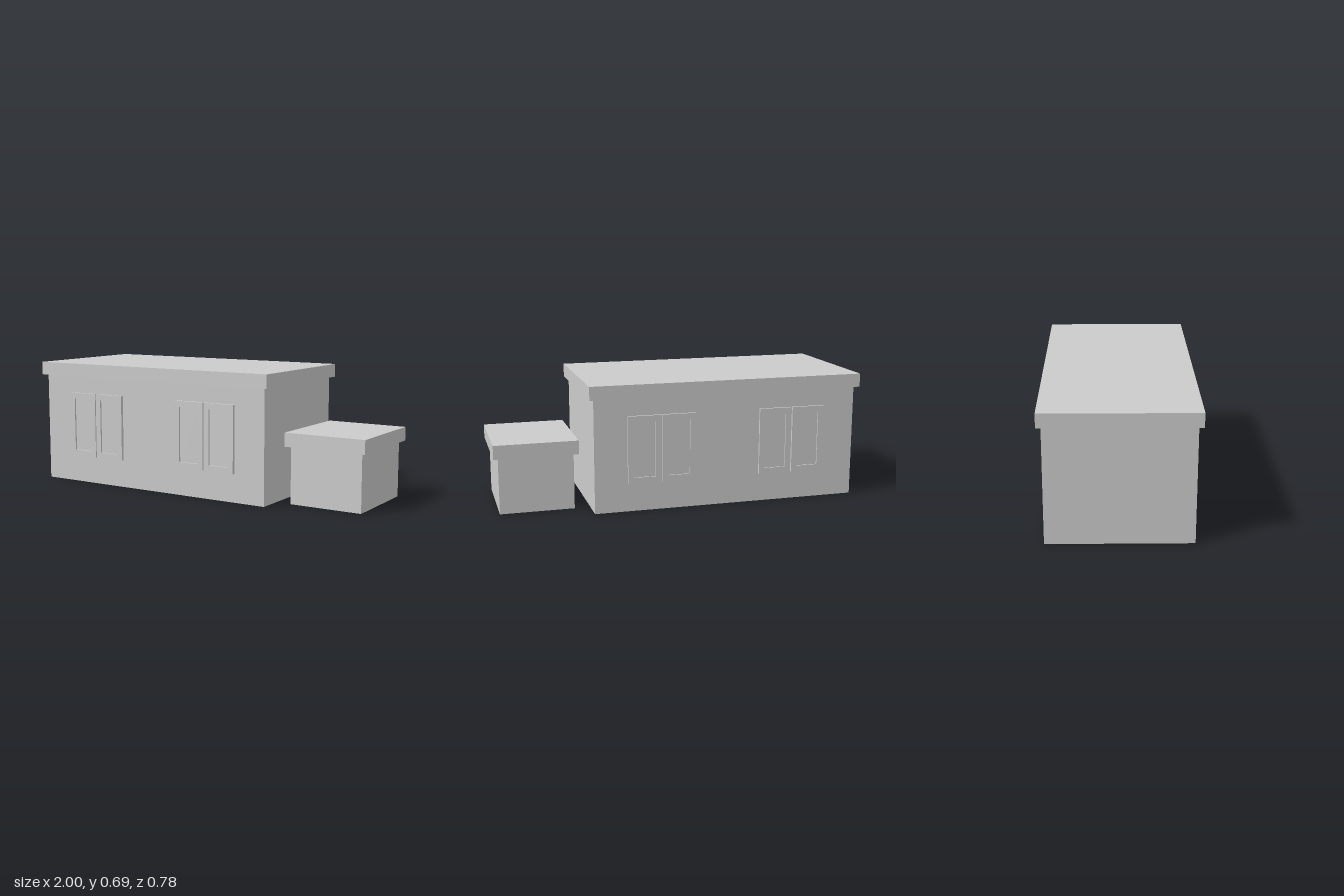
import * as THREE from 'three';

const material = new THREE.MeshStandardMaterial({ color: 0xcccccc, flatShading: true });

// Box given by its extents; z is symmetric about 0
function block(name, x0, x1, y0, y1, halfDepth) {
  const mesh = new THREE.Mesh(new THREE.BoxGeometry(x1 - x0, y1 - y0, halfDepth * 2), material);
  mesh.name = name;
  mesh.position.set((x0 + x1) / 2, (y0 + y1) / 2, 0);
  return mesh;
}

function rect(path, w, h) {
  path.moveTo(-w / 2, -h / 2);
  path.lineTo(w / 2, -h / 2);
  path.lineTo(w / 2, h / 2);
  path.lineTo(-w / 2, h / 2);
  path.closePath();
  return path;
}

// Double-leaf window: two rectangular frames around recessed panes
function makeWindow(name, depth) {
  const group = new THREE.Group();
  group.name = name;
  const leafW = 0.183, height = 0.364, border = 0.032, gap = 0.006;
  const shape = rect(new THREE.Shape(), leafW, height);
  shape.holes.push(rect(new THREE.Path(), leafW - 2 * border, height - 2 * border));
  const frameGeometry = new THREE.ExtrudeGeometry(shape, { depth, bevelEnabled: false });
  const paneDepth = depth * 0.4;
  const paneGeometry = new THREE.BoxGeometry(leafW - 2 * border, height - 2 * border, paneDepth);
  for (const side of [-1, 1]) {
    const x = side * (leafW + gap) / 2;
    const frame = new THREE.Mesh(frameGeometry, material);
    frame.name = 'windowFrame';
    frame.position.x = x;
    const pane = new THREE.Mesh(paneGeometry, material);
    pane.name = 'windowPane';
    pane.position.set(x, 0, paneDepth / 2);
    group.add(frame, pane);
  }
  return group;
}

export function createModel() {
  const model = new THREE.Group();
  model.name = 'house';

  // Main building and small annex, each with an overhanging flat roof
  const wallZ = 0.368;
  model.add(
    block('mainWalls', -0.975, 0.491, 0, 0.614, wallZ),
    block('mainRoof', -1, 0.515, 0.614, 0.687, 0.391),
    block('annexWalls', 0.576, 0.975, 0, 0.305, 0.238),
    block('annexRoof', 0.551, 1, 0.305, 0.379, 0.263)
  );

  // Two windows on the front and two on the back
  for (const x of [-0.608, 0.126]) {
    const front = makeWindow('frontWindow', 0.016);
    front.position.set(x, 0.336, wallZ);
    const back = makeWindow('backWindow', 0.012);
    back.position.set(x, 0.336, -wallZ);
    back.rotation.y = Math.PI;
    model.add(front, back);
  }
  return model;
}
